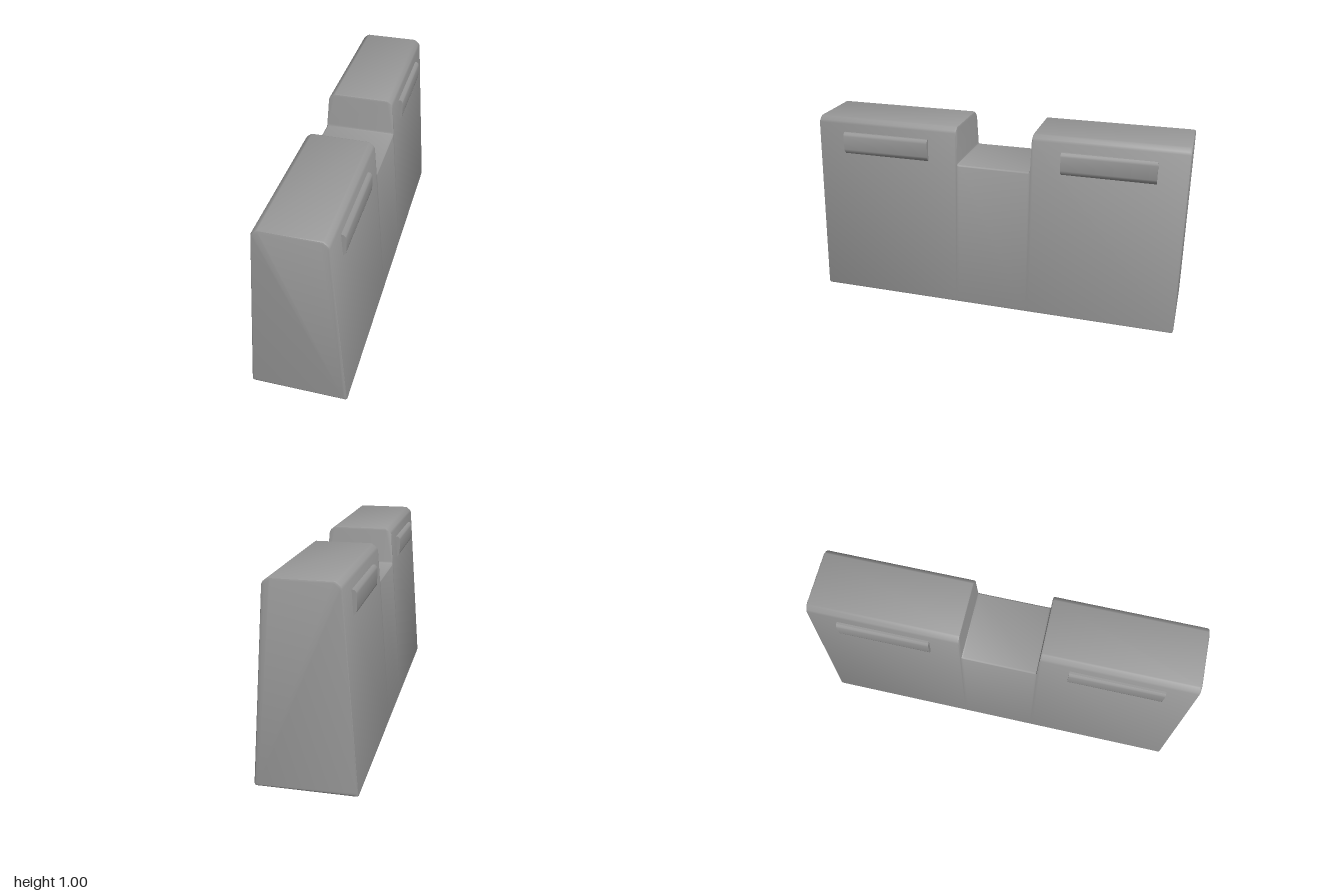
import * as THREE from 'three';
import { toCreasedNormals } from 'three/addons/utils/BufferGeometryUtils.js';

// Half width of the tapered body at height y
const halfWidth = (y) => 0.249 - 0.073 * y;

// Closed cross-section, counter-clockwise seen from the front.
// top = height, c = top corner bevel, inset = shrink used at the rounded ends
function section(top, c, inset) {
  const w = (y) => halfWidth(y) - inset;
  const b = inset;
  const right = [
    [w(0) - 0.011, b], [w(0) - 0.003, b + 0.003], [w(0.012), b + 0.012],
    [w(top - c), top - c], [w(top) - 0.15 * c, top - 0.6 * c],
    [w(top) - 0.8 * c, top - 0.08 * c], [w(top) - c, top],
  ];
  return [...right, ...right.slice().reverse().map(([x, y]) => [-x, y])];
}

// Skin the body through cross-sections running from back to front
function bodyGeometry() {
  const half = [ // z, top, bevel, inset
    [1, 0.99, 0.03, 0.01], [0.997, 0.997, 0.031, 0.003], [0.99, 1, 0.031, 0],
    [0.215, 1, 0.031, 0], [0.207, 0.997, 0.03, 0], [0.204, 0.988, 0.03, 0],
    [0.2, 0.812, 0.008, 0], [0.197, 0.803, 0.008, 0], [0.188, 0.8, 0.008, 0],
  ];
  const rows = [...half.map(([z, ...r]) => [-z, ...r]), ...half.slice().reverse()];
  const loops = rows.map(([z, top, c, inset]) =>
    section(top, c, inset).map(([x, y]) => [x, y, z]));
  const n = loops[0].length;
  const index = [];
  for (let s = 0; s < loops.length - 1; s++) {
    for (let i = 0; i < n; i++) {
      const a = s * n + i, b = s * n + (i + 1) % n;
      index.push(a, b, b + n, a, b + n, a + n);
    }
  }
  // End caps
  const last = (loops.length - 1) * n;
  for (let i = 1; i < n - 1; i++) {
    index.push(0, i + 1, i, last, last + i, last + i + 1);
  }
  const geometry = new THREE.BufferGeometry();
  geometry.setAttribute('position', new THREE.Float32BufferAttribute(loops.flat(2), 3));
  geometry.setIndex(index);
  return toCreasedNormals(geometry, 0.7);
}

// Side grip bar with bevelled upper and lower edges
function gripGeometry() {
  const shape = new THREE.Shape([
    [0.165, 0.806], [0.19, 0.806], [0.203, 0.822], [0.205, 0.832],
    [0.205, 0.905], [0.202, 0.915], [0.193, 0.925], [0.165, 0.925],
  ].map(([x, y]) => new THREE.Vector2(x, y)));
  const geometry = new THREE.ExtrudeGeometry(shape, { depth: 0.485, bevelEnabled: false });
  geometry.translate(0, 0, -0.2425);
  return toCreasedNormals(geometry, 0.5);
}

export function createModel() {
  const group = new THREE.Group();
  const grey = new THREE.MeshStandardMaterial({ color: 0x999999 });
  grey.name = 'grey';

  const body = new THREE.Mesh(bodyGeometry(), grey);
  body.name = 'body';
  group.add(body);

  // Two grips on each side
  const grip = gripGeometry();
  for (const side of [1, -1]) {
    for (const end of [1, -1]) {
      const mesh = new THREE.Mesh(grip, grey);
      mesh.name = (side > 0 ? 'left' : 'right') + (end > 0 ? 'Front' : 'Back') + 'Grip';
      mesh.rotation.y = side > 0 ? 0 : Math.PI;
      mesh.position.z = end * 0.603;
      group.add(mesh);
    }
  }
  return group;
}
